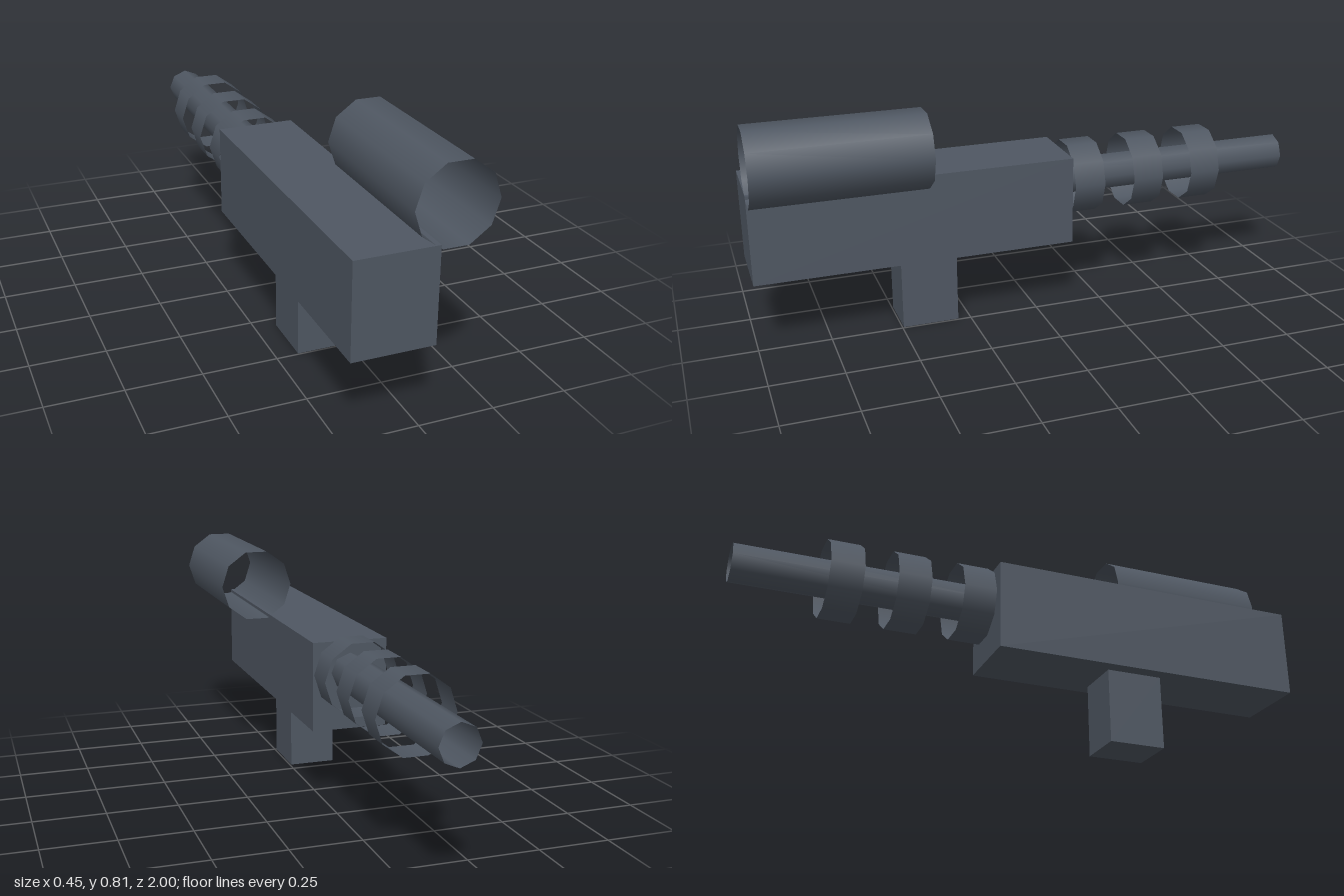
import * as THREE from 'three';

const slate = new THREE.MeshStandardMaterial({ color: 0x4f5762, side: THREE.DoubleSide });
slate.name = 'slate grey';

// Solid box given by its lower and upper corners
function block(name, [x0, y0, z0], [x1, y1, z1]) {
  const mesh = new THREE.Mesh(new THREE.BoxGeometry(x1 - x0, y1 - y0, z1 - z0), slate);
  mesh.position.set((x0 + x1) / 2, (y0 + y1) / 2, (z0 + z1) / 2);
  mesh.name = name;
  return mesh;
}

// Open tube along z, with corners on the left and right
function openTube(name, x, y, z0, z1, radius, sides) {
  const geometry = new THREE.CylinderGeometry(radius, radius, z1 - z0, sides, 1, true, Math.PI / 2);
  geometry.rotateX(Math.PI / 2);
  const mesh = new THREE.Mesh(geometry, slate);
  mesh.position.set(x, y, (z0 + z1) / 2);
  mesh.name = name;
  return mesh;
}

export function createModel() {
  const model = new THREE.Group();
  model.name = 'blaster';

  // Body and grip
  model.add(block('body', [-0.224, 0.26, -0.122], [0.044, 0.574, 1]));
  model.add(block('grip', [-0.175, 0, 0.295], [-0.006, 0.26, 0.495]));

  // Scope tube beside the top edge
  model.add(openTube('scope', 0.09, 0.687, 0.417, 1, 0.134, 10));

  // Barrel with three loose rings
  model.add(openTube('barrel', -0.09, 0.464, -1, -0.122, 0.067, 8));
  for (let i = 0; i < 3; i++) {
    const z = -0.134 - i * 0.2265;
    model.add(openTube('barrelRing' + (i + 1), -0.09, 0.464, z - 0.113, z, 0.134, 10));
  }
  return model;
}
